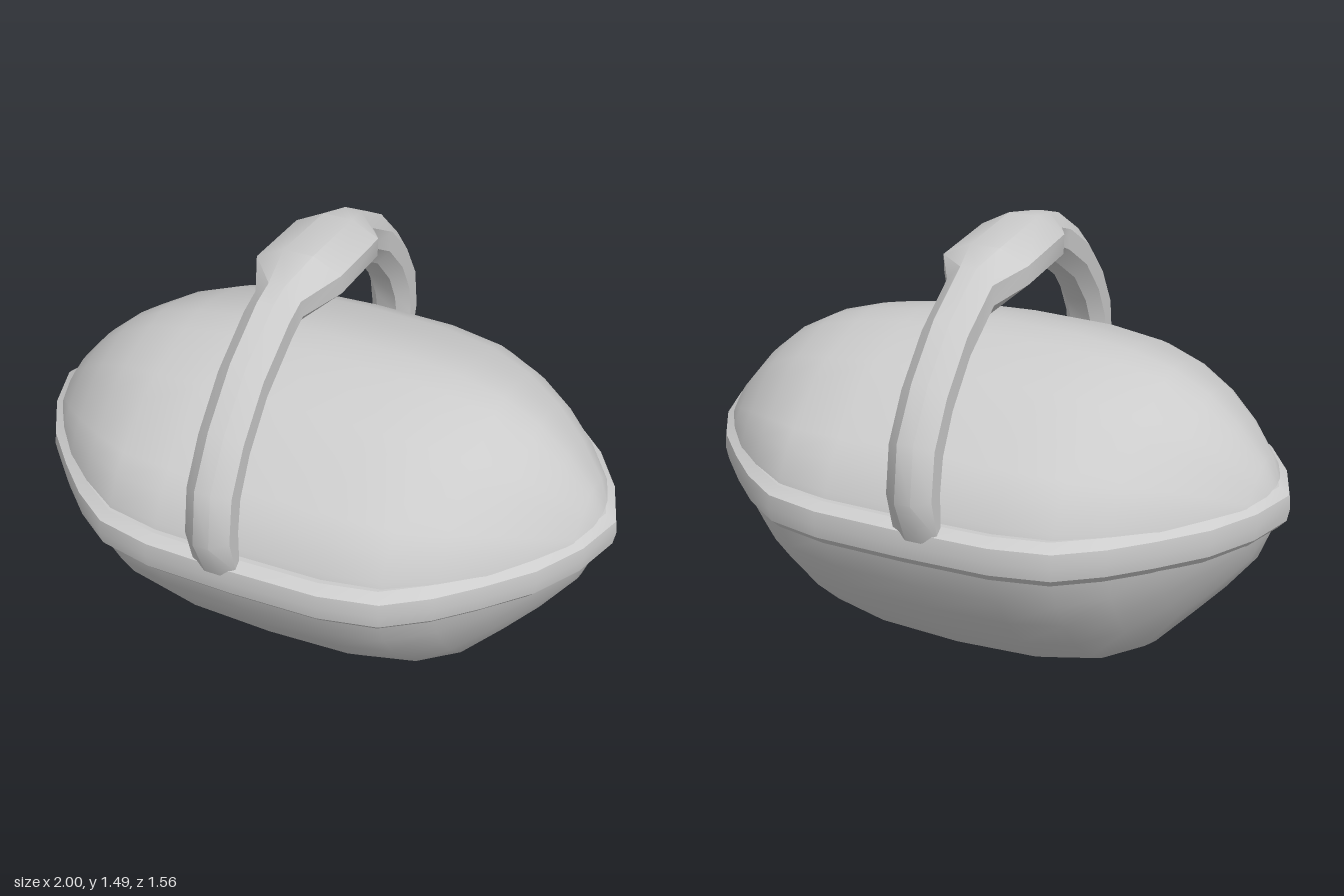
import * as THREE from 'three';
import { toCreasedNormals } from 'three/addons/utils/BufferGeometryUtils.js';

const grey = () => new THREE.MeshStandardMaterial({ color: 0xcccccc });

// Skin a row of equal-length cross-sections; each runs anticlockwise about the direction of travel.
function loft(rings, loop = false) {
  const n = rings[0].length, count = rings.length, index = [];
  for (let i = 0; i < (loop ? count : count - 1); i++) {
    const p = i * n, q = ((i + 1) % count) * n;
    for (let j = 0; j < n; j++) {
      const k = (j + 1) % n;
      index.push(p + j, p + k, q + j, p + k, q + k, q + j);
    }
  }
  if (!loop) {
    const last = (count - 1) * n;
    for (let j = 1; j < n - 1; j++) index.push(0, j + 1, j, last, last + j, last + j + 1);
  }
  const geometry = new THREE.BufferGeometry();
  geometry.setAttribute('position', new THREE.Float32BufferAttribute(rings.flat(2), 3));
  geometry.setIndex(index);
  geometry.computeVertexNormals();
  return geometry;
}

function part(name, geometry) {
  const mesh = new THREE.Mesh(geometry, grey());
  mesh.name = name;
  return mesh;
}

const MID = 0.69; // height of the seam between lid and bowl

// Smooth shell: domed lid and deep bowl, one arched section swept along x.
function shell() {
  const lid = [[0, 1], [0.15, 0.975], [0.29, 0.915], [0.46, 0.84], [0.6, 0.74], [0.81, 0.485], [0.89, 0.37], [0.96, 0.19], [1, 0]];
  const bowl = [[0.985, 0.1], [0.91, 0.275], [0.81, 0.435], [0.66, 0.62], [0.46, 0.81], [0.29, 0.91], [0.09, 0.985], [0, 1]];
  // x, half width, top, bottom
  const half = [
    [0, 0.68, 1.165, 0], [0.28, 0.675, 1.155, 0.015], [0.46, 0.64, 1.13, 0.055],
    [0.6, 0.55, 1.09, 0.13], [0.72, 0.445, 1.025, 0.265], [0.82, 0.335, 0.94, 0.38],
    [0.91, 0.205, 0.835, 0.5], [0.95, 0.11, 0.76, 0.61], [0.97, 0.02, 0.7, 0.68],
  ];
  const stations = [...half.slice(1).reverse().map(([x, ...s]) => [-x, ...s]), ...half];
  return loft(stations.map(([x, w, top, bottom]) => {
    const side = [
      ...lid.map(([t, s]) => [x, MID + s * (top - MID), t * w]),
      ...bowl.map(([t, s]) => [x, MID - s * (MID - bottom), t * w]),
    ];
    return [...side, ...side.slice(1, -1).reverse().map(([a, y, z]) => [a, y, -z])];
  }));
}

// Bevelled band around the seam.
function rim() {
  const quarter = [[1, 0], [0.945, 0.17], [0.85, 0.33], [0.725, 0.465], [0.61, 0.575], [0.475, 0.67], [0.29, 0.71], [0, 0.717]];
  const front = [...quarter, ...quarter.slice(0, -1).reverse().map(([x, z]) => [-x, z])];
  const outline = [...front, ...front.slice(1, -1).reverse().map(([x, z]) => [x, -z])];
  // inset, height
  const section = [[0.008, 0.645], [0, 0.69], [0.005, 0.735], [0.04, 0.757], [0.08, 0.757], [0.08, 0.615], [0.035, 0.615]];
  const rings = outline.map(([x, z]) => section.map(([d, y]) => [x * (1 - d), y, z * (1 - d / 0.717)]));
  return toCreasedNormals(loft(rings, true), 0.5);
}

// Arched carrying handle with a widened grip at the crown.
function handle() {
  const CX = -0.052;
  // outer z, y, inner z, y, half width
  const leg = [
    [0.715, 0.71, 0.66, 0.765, 0.073], [0.778, 0.86, 0.635, 0.87, 0.074], [0.75, 1.04, 0.615, 0.95, 0.074],
    [0.65, 1.19, 0.56, 1.055, 0.074], [0.5, 1.335, 0.45, 1.175, 0.074], [0.32, 1.44, 0.29, 1.275, 0.075],
  ];
  const crown = [
    [0.24, 1.463, 0.21, 1.315, 0.075], [0.09, 1.493, 0.08, 1.335, 0.142],
    [-0.2, 1.472, -0.19, 1.322, 0.142],
  ];
  const stations = [...leg, ...crown, ...leg.slice().reverse().map(([a, b, c, d, w]) => [-a, b, -c, d, w])];
  // across, and depth from inner to outer face
  const section = [[1, 0.7], [1, 0.3], [0.5, 0], [-0.5, 0], [-1, 0.3], [-1, 0.7], [-0.35, 1], [0.35, 1]];
  const rings = stations.map(([oz, oy, iz, iy, w]) =>
    section.map(([u, t]) => [CX + u * w, iy + (oy - iy) * t, iz + (oz - iz) * t]));
  return toCreasedNormals(loft(rings), 0.6);
}

export function createModel() {
  const group = new THREE.Group();
  group.name = 'lidded basket';
  group.add(part('shell', shell()), part('rim', rim()), part('handle', handle()));
  return group;
}
